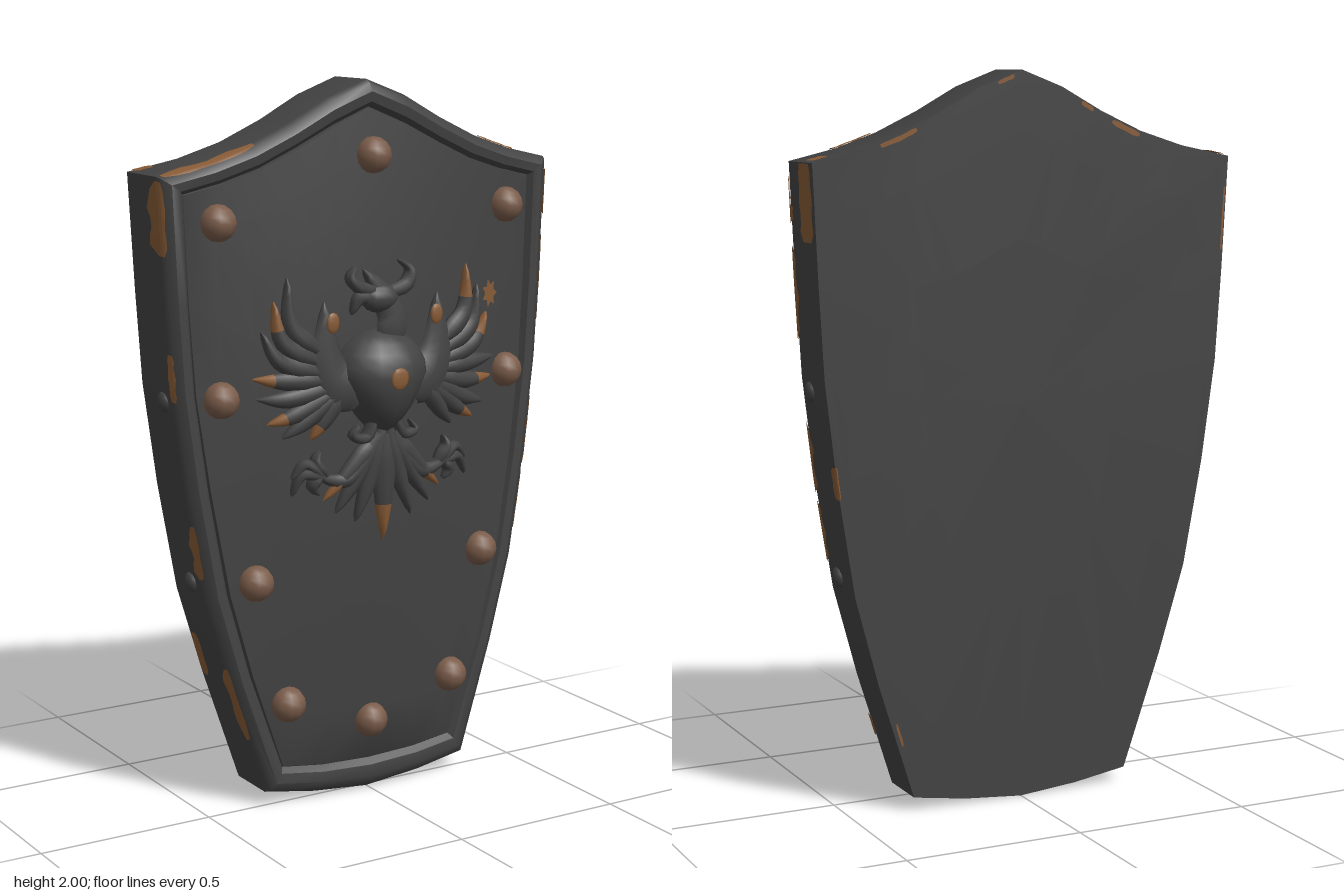
import * as THREE from 'three';
import { toCreasedNormals } from 'three/addons/utils/BufferGeometryUtils.js';

const iron = new THREE.MeshStandardMaterial({ color: 0x424242 });
iron.name = 'dark iron';
const copper = new THREE.MeshStandardMaterial({ color: 0x7a5c4a });
copper.name = 'copper rivet';
const wear = new THREE.MeshStandardMaterial({ color: 0x875a35, side: THREE.DoubleSide });
wear.name = 'worn bronze';

// Right half of the outer edge and of the inner rim edge, top to bottom
const OUTER = [[0, 2], [.12, 1.955], [.24, 1.89], [.36, 1.835], [.48, 1.795], [.615, 1.765], [.6, 1.45],
  [.585, 1.2], [.55, .92], [.5, .62], [.43, .37], [.325, .045], [.17, .02], [0, .005]];
const INNER = [[0, 1.925], [.11, 1.88], [.22, 1.825], [.33, 1.775], [.44, 1.74], [.545, 1.715], [.535, 1.42],
  [.52, 1.18], [.485, .92], [.435, .63], [.37, .39], [.275, .115], [.15, .1], [0, .095]];
const COUNT = 26;

const frontZ = (x) => 0.035 - 0.1 * x * x;
const backZ = (x) => -0.148 - 0.043 * Math.pow(Math.max(0, (Math.abs(x) - 0.3) / 0.315), 1.4);
const panelZ = (x, y) => frontZ(x) - 0.01 +
  0.05 * Math.max(0, 1 - (x / 0.54) ** 2) * Math.max(0, 1 - ((y - 1.05) / 0.95) ** 2);

// Point on a mirrored closed outline at real index t
function outlineAt(list, t) {
  const at = (i) => {
    i = ((i % COUNT) + COUNT) % COUNT;
    return i <= 13 ? list[i] : [-list[COUNT - i][0], list[COUNT - i][1]];
  };
  const i = Math.floor(t), f = t - i, a = at(i), b = at(i + 1);
  return [a[0] + (b[0] - a[0]) * f, a[1] + (b[1] - a[1]) * f];
}

// Rings from back centre, over the wall and rim, to the front centre
const mid = 1.1;
const shrink = (list, s, zf) => (t) => {
  const [x, y] = outlineAt(list, t);
  const px = x * s, py = mid + (y - mid) * s;
  return new THREE.Vector3(px, py, zf(px, py));
};
const rim = (inset, dz) => (t) => {
  const a = outlineAt(OUTER, t), b = outlineAt(INNER, t);
  const x = a[0] + (b[0] - a[0]) * inset;
  return new THREE.Vector3(x, a[1] + (b[1] - a[1]) * inset, frontZ(x) + dz);
};
const RINGS = [
  ...[0, 0.5, 0.82, 0.96, 1].map((s) => shrink(OUTER, s, backZ)),
  rim(0, -0.022), rim(0.12, -0.003), rim(0.42, 0.01), rim(0.78, 0.006), rim(0.97, -0.012),
  ...[1, 0.85, 0.68, 0.5, 0.33, 0.16, 0].map((s) => shrink(INNER, s, panelZ)),
];
function surface(t, v) {
  const i = Math.min(Math.floor(v), RINGS.length - 2);
  return RINGS[i](t).lerp(RINGS[i + 1](t), v - i);
}

// Grid of points, rows x cols, into a geometry
function gridGeometry(rows, cols, pointAt) {
  const pos = [], idx = [];
  for (let r = 0; r <= rows; r++) for (let c = 0; c <= cols; c++) pos.push(...pointAt(r, c).toArray());
  for (let r = 0; r < rows; r++) for (let c = 0; c < cols; c++) {
    const a = r * (cols + 1) + c, b = a + cols + 1;
    idx.push(a, b, a + 1, b, b + 1, a + 1);
  }
  const g = new THREE.BufferGeometry();
  g.setAttribute('position', new THREE.Float32BufferAttribute(pos, 3));
  g.setIndex(idx);
  g.computeVertexNormals();
  return g;
}

// Ragged worn patch lying just above the shell
function patchGeometry(t0, t1, v0, v1) {
  const n = 8, m = 6;
  return gridGeometry(m, n, (r, c) => {
    const t = t0 + (t1 - t0) * c / n;
    const pinch = 0.1 * Math.abs(Math.sin(c * 2.3 + t0 * 5)) + (c === 0 || c === n ? 0.16 : 0);
    const v = v0 + (v1 - v0) * (pinch + (1 - 2 * pinch) * r / m);
    const p = surface(t, v);
    const dv = surface(t, v + 0.02).sub(surface(t, v - 0.02));
    const dt = surface(t + 0.02, v).sub(surface(t - 0.02, v));
    return p.addScaledVector(dv.cross(dt).normalize(), 0.004);
  });
}

// Tapered curled plume following the panel; the tip may be worn
function plume(points, width, worn = false, height = 0.027, lift = 0.03) {
  const curve = new THREE.CatmullRomCurve3(points.map(([x, y]) => new THREE.Vector3(x, y, 0)));
  const segs = 12, sides = 8;
  const g = gridGeometry(segs, sides, (r, c) => {
    const u = r / segs, p = curve.getPoint(u), d = curve.getTangent(u);
    const taper = Math.min(1, 0.55 + 2 * u) * (1 - Math.pow(u, 2.2));
    const a = -c / sides * Math.PI * 2, w = (width * taper + 0.002) * Math.cos(a);
    const h = height * (0.45 + 0.55 * taper) * (r === segs ? 0.2 : 1);
    return new THREE.Vector3(p.x - d.y * w, p.y + d.x * w, panelZ(p.x, p.y) + lift + h * Math.sin(a));
  });
  const split = (worn ? segs - 4 : segs) * sides * 6;
  g.addGroup(0, split, 0);
  g.addGroup(split, Infinity, 1);
  return new THREE.Mesh(g, [iron, wear]);
}

export function createModel() {
  const model = new THREE.Group();
  model.name = 'shield';
  const add = (geo, mat, name, x = 0, y = 0, z = 0, parent = model) => {
    const mesh = new THREE.Mesh(geo, mat);
    mesh.name = name;
    mesh.position.set(x, y, z);
    parent.add(mesh);
    return mesh;
  };

  // Shell
  const shell = gridGeometry(RINGS.length - 1, COUNT, (r, c) => RINGS[r](c));
  add(toCreasedNormals(shell, 0.65), iron, 'shieldBody');

  // Rivets
  const dome = new THREE.SphereGeometry(0.05, 10, 8);
  add(dome, copper, 'topRivet', 0, 1.8, 0.05);
  add(dome, copper, 'bottomRivet', 0, 0.21, 0.035);
  for (const s of [1, -1]) {
    for (const [x, y] of [[.457, 1.64], [.457, 1.17], [.366, .66], [.267, .3]])
      add(dome, copper, 'faceRivet', s * x, y, panelZ(x, y) + 0.004);
    for (const [x, y] of [[.575, 1.165], [.503, .66]])
      add(new THREE.SphereGeometry(0.03, 10, 8), iron, 'sideRivet', s * x, y, -0.07).scale.x = 0.7;
  }

  // Worn patches on the edges: t range, then ring range
  const patches = [
    [5.01, 5.65, 4.02, 4.6], [5.7, 6.6, 4.82, 5.7], [5.35, 5.5, 4.85, 5.4], [7.43, 8.12, 4.82, 5.8],
    [8.2, 8.75, 4.82, 5.7], [10.35, 10.55, 4.85, 5.4], [5.1, 5.5, 5.1, 6.2], [3.1, 4.1, 4.8, 5.7],
    [21.05, 23.1, 4.9, 6.2], [20.35, 20.97, 4.65, 6.2], [17.2, 17.7, 4.85, 6], [15.5, 16.2, 4.85, 6],
    [18.9, 19.4, 5, 6.1], [4.6, 4.95, 4.05, 4.4], [21.05, 21.4, 4.02, 4.3],
    [2.6, 3.5, 3.4, 3.85], [0.2, 0.6, 3.6, 3.95], [24.2, 24.5, 3.5, 3.9], [23, 23.7, 3.35, 3.85],
    [20.2, 20.75, 3.6, 3.85], [16, 16.5, 4.05, 4.35], [7.8, 8.1, 3.8, 4.15], [10.4, 10.6, 3.3, 3.6],
  ];
  for (const p of patches) add(patchGeometry(...p), wear, 'wornEdge');

  // Worn spot on the panel
  const spot = new THREE.CircleGeometry(0.036, 14);
  const sp = spot.attributes.position;
  for (let i = 0; i < sp.count; i++) {
    const k = i === 0 ? 1 : (i % 2 ? 1 : 0.6), x = sp.getX(i) * k * 0.8 + 0.395, y = sp.getY(i) * k * 1.15 + 1.395;
    sp.setXYZ(i, x, y, panelZ(x, y) + 0.005);
  }
  add(spot, wear, 'panelWear');

  // Bird emblem
  const emblem = new THREE.Group();
  emblem.name = 'birdEmblem';
  model.add(emblem);
  const put = (mesh, name) => { mesh.name = name; emblem.add(mesh); };

  const feathers = [
    [[.2, 1.29], [.275, 1.36], [.285, 1.49]], [[.2, 1.26], [.3, 1.32], [.325, 1.43]],
    [[.19, 1.23], [.31, 1.27], [.36, 1.35]], [[.18, 1.21], [.3, 1.215], [.385, 1.225]],
    [[.16, 1.19], [.29, 1.165], [.375, 1.17]], [[.15, 1.18], [.27, 1.12], [.345, 1.1]],
    [[.14, 1.18], [.24, 1.1], [.305, 1.06]], [[.13, 1.18], [.185, 1.1], [.225, 1.05]],
  ];
  const tail = [[[.01, 1.06], [.05, .92], [.09, .81]], [[.02, 1.05], [.09, .93], [.15, .84]],
    [[.03, 1.03], [.1, .96], [.185, .88]]];
  const talons = [[[.19, .945], [.25, .955], [.28, .9]], [[.19, .945], [.24, .985], [.28, .945]],
    [[.18, .95], [.21, .99], [.2, 1.02]], [[.2, .95], [.22, .92], [.2, .895]]];
  for (const s of [1, -1]) {
    const side = (pts) => pts.map(([x, y]) => [s * x, y]);
    put(plume(side([[.08, 1.15], [.165, 1.23], [.18, 1.42]]), 0.075, false, 0.03), 'wing');
    feathers.forEach((f, i) => put(plume(side(f), 0.028, (i + (s > 0 ? 0 : 1)) % 2 === 0), 'wingFeather'));
    tail.forEach((f, i) => put(plume(side(f), 0.03, i === 2), 'tailFeather'));
    put(plume(side([[.04, 1.01], [.12, .93], [.22, .95]]), 0.028), 'leg');
    talons.forEach((f) => put(plume(side(f), 0.015), 'talon'));
    put(plume(side([[.03, 1.1], [.06, 1.04], [.1, 1.05], [.08, 1.08]]), 0.014), 'curl');
    const mark = add(new THREE.SphereGeometry(0.026, 8, 6), wear, 'wingWear', s * 0.165, 1.365, panelZ(.165, 1.365) + 0.05, emblem);
    mark.scale.set(0.8, 1.1, 0.25);
  }
  put(plume([[0, 1.05], [0, .9], [0, .75]], 0.04, true), 'middleTailFeather');

  // Neck, head, beak and crest
  put(plume([[.01, 1.28], [.03, 1.36], [-.01, 1.44], [-.06, 1.5]], 0.05, false, 0.03), 'neck');
  const head = add(new THREE.SphereGeometry(0.045, 12, 8), iron, 'head', -0.01, 1.42, panelZ(0, 1.42) + 0.03, emblem);
  head.scale.set(1.3, 0.9, 0.8);
  put(plume([[-.02, 1.42], [-.07, 1.425], [-.1, 1.38]], 0.024), 'beak');
  put(plume([[0, 1.43], [.075, 1.45], [.09, 1.49], [.05, 1.52]], 0.02), 'crest');
  put(plume([[0, 1.44], [-.07, 1.45], [-.1, 1.48], [-.085, 1.51]], 0.018), 'crest');

  // Breast boss, pinched to a point below
  const boss = new THREE.SphereGeometry(1, 16, 12);
  const bp = boss.attributes.position;
  for (let i = 0; i < bp.count; i++) {
    const x = bp.getX(i), y = bp.getY(i), pinch = y < 0 ? 1 + 0.45 * y : 1;
    bp.setXYZ(i, x * 0.14 * pinch, y * (y < 0 ? 0.165 : 0.125), bp.getZ(i) * 0.115);
  }
  boss.computeVertexNormals();
  add(boss, iron, 'breastBoss', 0, 1.21, 0.075, emblem);
  add(new THREE.SphereGeometry(0.03, 8, 6), wear, 'bossWear', 0, 1.21, 0.187, emblem).scale.z = 0.2;
  return model;
}
